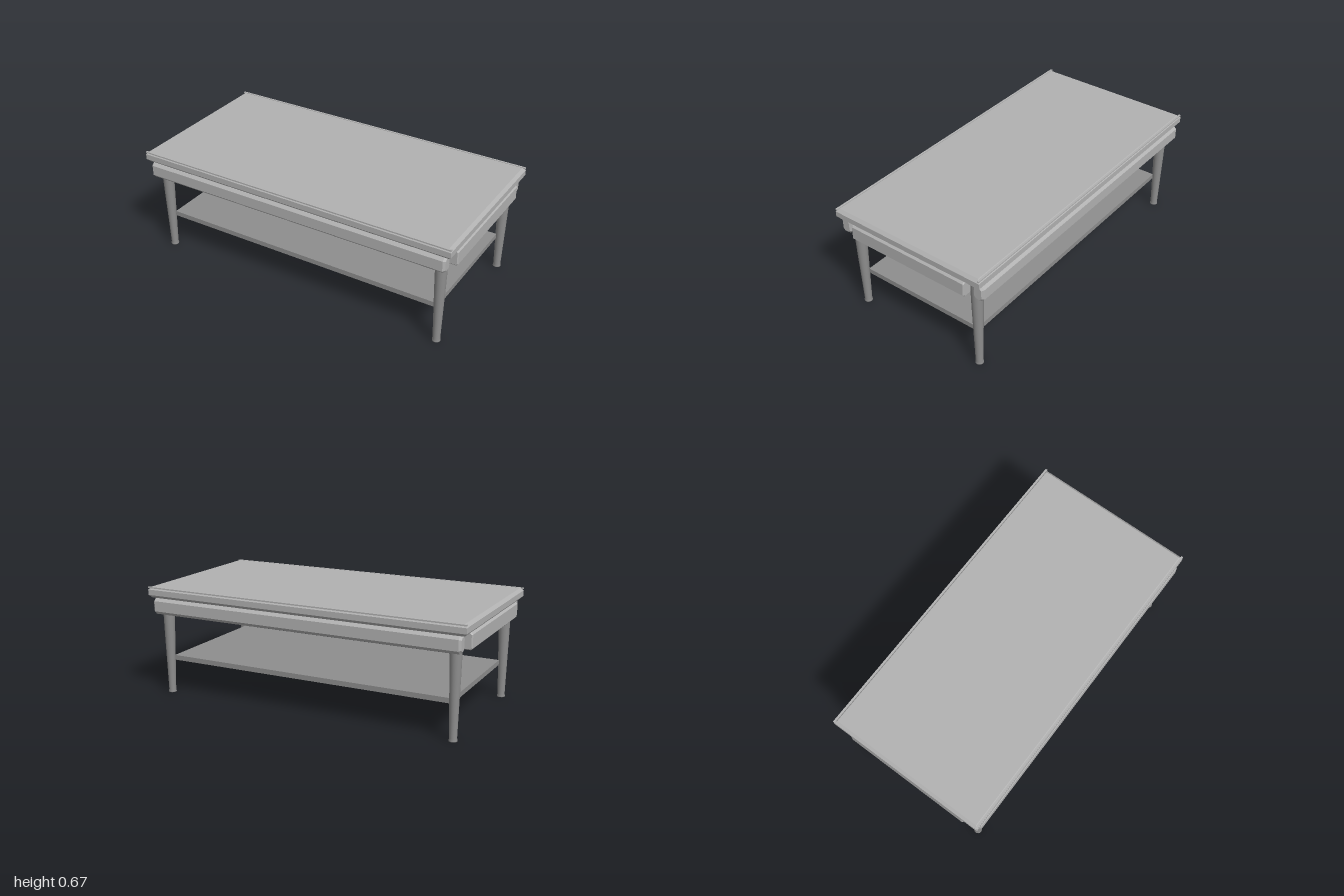
import * as THREE from 'three';

export function createModel() {
  const model = new THREE.Group();
  model.name = 'coffeeTable';
  const lightGrey = new THREE.MeshStandardMaterial({ color: 0xb2b2b2 });
  lightGrey.name = 'lightGrey';
  const midGrey = new THREE.MeshStandardMaterial({ color: 0x8e8e8e });
  midGrey.name = 'midGrey';

  function add(name, geometry, material, x, y, z) {
    const mesh = new THREE.Mesh(geometry, material);
    mesh.name = name;
    mesh.position.set(x, y, z);
    model.add(mesh);
    return mesh;
  }

  // Centred block, w by h, extruded along z; corners cut by k and ends bevelled by c
  function chamferedBlock(w, h, depth, c, k) {
    const a = w / 2 - c, b = h / 2 - c;
    const points = k > 0
      ? [[a - k, -b], [a, k - b], [a, b - k], [a - k, b], [k - a, b], [-a, b - k], [-a, k - b], [k - a, -b]]
      : [[-a, -b], [a, -b], [a, b], [-a, b]];
    const shape = new THREE.Shape(points.map(([x, y]) => new THREE.Vector2(x, y)));
    return new THREE.ExtrudeGeometry(shape, {
      depth: depth - 2 * c, bevelEnabled: true, bevelSegments: 1, bevelSize: c, bevelThickness: c,
    }).translate(0, 0, c - depth / 2);
  }

  // Table top with bevelled upper and lower edges
  add('tableTop', chamferedBlock(2, 1, 0.067, 0.017, 0).rotateX(-Math.PI / 2), lightGrey, 0, 0.6335, 0);

  // Thin lips and chamfered long aprons, front and back
  for (const s of [1, -1]) {
    const side = s > 0 ? 'front' : 'back';
    add(side + 'Lip', new THREE.BoxGeometry(2, 0.008, 0.012), lightGrey, 0, 0.663, s * 0.494);
    add(side + 'Apron', chamferedBlock(0.07, 0.1, 1.94, 0.012, 0.012).rotateY(Math.PI / 2),
      lightGrey, 0, 0.552, s * 0.465);
  }

  // End aprons between the legs
  for (const s of [1, -1]) {
    add(s > 0 ? 'leftApron' : 'rightApron',
      chamferedBlock(0.06, 0.095, 0.79, 0.006, 0.006), lightGrey, s * 0.967, 0.5525, 0);
  }

  // Lower shelf
  add('shelf', new THREE.BoxGeometry(1.8, 0.03, 0.8), midGrey, 0, 0.216, 0);

  // Turned, tapered legs
  const profile = [[0, 0], [0.024, 0], [0.024, 0.004], [0.0215, 0.018], [0.0245, 0.13],
    [0.031, 0.36], [0.034, 0.5], [0.032, 0.56], [0.026, 0.61]]
    .map(([r, y]) => new THREE.Vector2(r, y));
  const legGeometry = new THREE.LatheGeometry(profile, 16);
  for (const sx of [1, -1]) {
    for (const sz of [1, -1]) {
      add((sz > 0 ? 'front' : 'back') + (sx > 0 ? 'Left' : 'Right') + 'Leg',
        legGeometry, midGrey, sx * 0.917, 0, sz * 0.417);
    }
  }

  return model;
}
